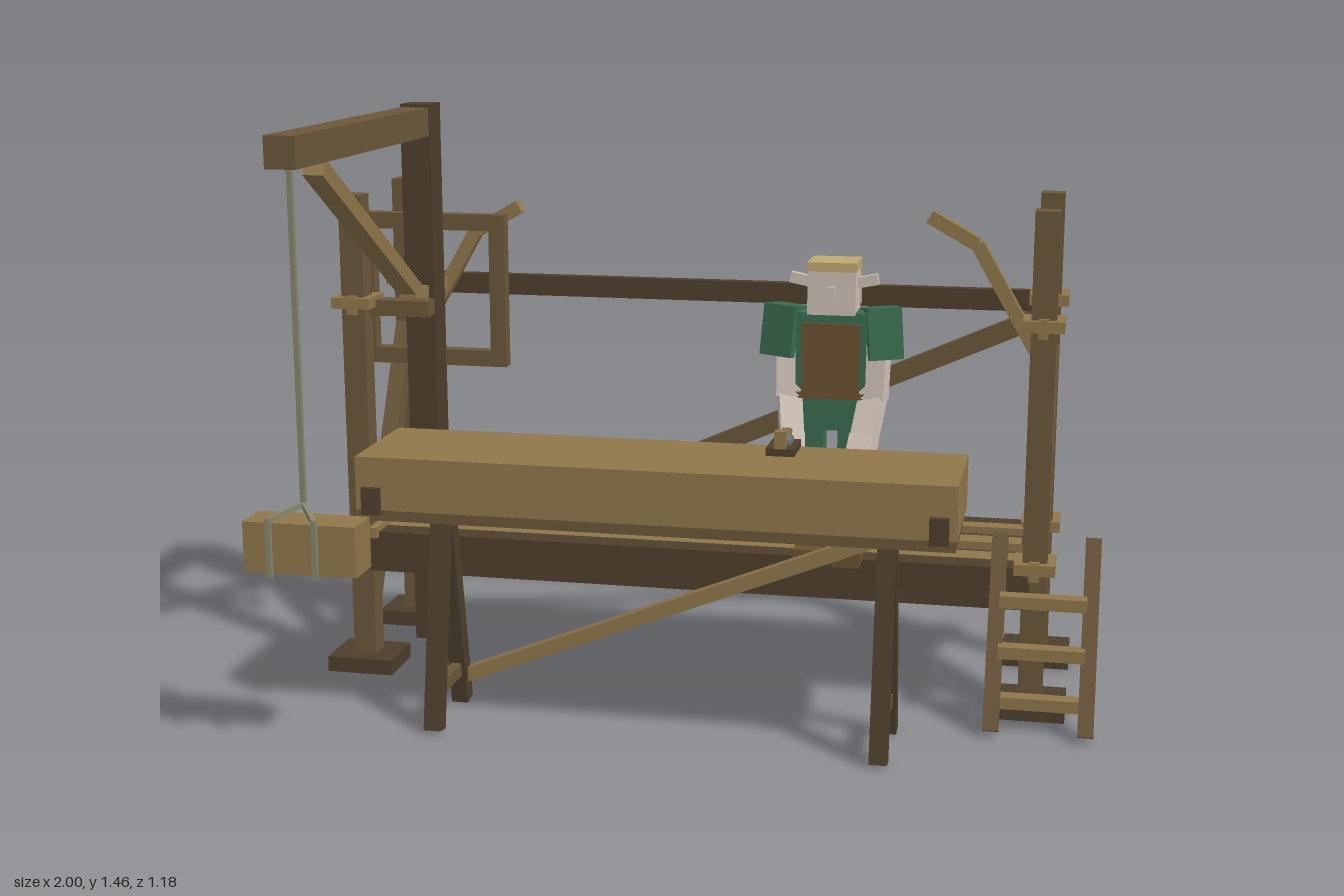
import * as THREE from 'three';

const mat = (name, color) => {
  const m = new THREE.MeshStandardMaterial({ color });
  m.name = name;
  return m;
};

export function createModel() {
  const root = new THREE.Group();
  root.name = 'timberWorkshop';
  const light = mat('lightWood', 0x8f764a);
  const medium = mat('mediumWood', 0x6b573a);
  const dark = mat('darkWood', 0x4d3f2c);
  const green = mat('greenCloth', 0x3a6b4f);
  const skin = mat('skin', 0xcdbfb5);
  const hair = mat('strawHair', 0xbfa870);
  const leather = mat('leather', 0x69502f);
  const rope = mat('rope', 0x85866c);
  const metal = mat('metal', 0x6f7774);

  const group = (name, parent = root) => {
    const g = new THREE.Group();
    g.name = name;
    parent.add(g);
    return g;
  };
  // Box given by its limits on each axis
  const box = (parent, name, m, x0, x1, y0, y1, z0, z1) => {
    const mesh = new THREE.Mesh(new THREE.BoxGeometry(x1 - x0, y1 - y0, z1 - z0), m);
    mesh.position.set((x0 + x1) / 2, (y0 + y1) / 2, (z0 + z1) / 2);
    mesh.name = name;
    parent.add(mesh);
    return mesh;
  };
  // Straight timber between two points: w is the horizontal section, h the other
  const beam = (parent, name, m, a, b, w, h) => {
    const p = new THREE.Vector3(...a), q = new THREE.Vector3(...b);
    const mesh = new THREE.Mesh(new THREE.BoxGeometry(w, h, p.distanceTo(q)), m);
    mesh.position.copy(p).add(q).multiplyScalar(0.5);
    mesh.lookAt(q);
    mesh.name = name;
    parent.add(mesh);
    return mesh;
  };

  // Scaffold: four posts with feet and collars
  const frame = group('scaffold');
  for (const x of [-0.89, 0.842]) {
    for (const z of [-0.114, -0.512]) {
      box(frame, 'post', medium, x - 0.03, x + 0.03, 0.03, 1.25, z - 0.029, z + 0.029);
      box(frame, 'postFoot', dark, x - 0.087, x + 0.087, 0, 0.04, z - 0.075, z + 0.075);
      for (const y of [0.377, 0.977]) {
        const zc = z < -0.3 ? z - 0.008 : z;
        box(frame, 'collar', light, x - 0.05, x + 0.05, y - 0.014, y + 0.014, zc - 0.06, zc + 0.05);
        box(frame, 'collarPeg', light, x - 0.012, x + 0.012, y - 0.03, y + 0.018, zc - 0.065, zc + 0.045);
      }
    }
    const s = Math.sign(x), bx = x < 0 ? -0.898 : 0.85;
    beam(frame, 'sideBrace', medium, [bx, 0.1, -0.125], [bx, 0.85, -0.505], 0.043, 0.05);
    // Bent knee brace
    const k = x < 0 ? 0.04 : 0;
    const pts = [[0.81, 0.84], [0.655, 1.11], [0.53, 1.18]].map(([px, py]) => [s * (px + k), py, -0.517]);
    beam(frame, 'kneeBrace', light, pts[0], pts[1], 0.035, 0.035);
    beam(frame, 'kneeBraceTip', light, pts[1], pts[2], 0.035, 0.035);
  }
  box(frame, 'backRail', dark, -0.88, 0.85, 0.935, 0.99, -0.57, -0.54);
  beam(frame, 'backBrace', medium, [-0.87, 0.165, -0.555], [0.83, 0.925, -0.555], 0.025, 0.05);
  for (const z of [-0.114, -0.512]) {
    box(frame, 'ledger', dark, -0.87, 0.83, 0.27, z < -0.3 ? 0.375 : 0.34, z - 0.03, z + 0.03);
  }

  // Walkway planks
  const deck = group('walkway');
  [[-0.148, -0.082, dark], [-0.218, -0.152, light], [-0.295, -0.23, medium],
    [-0.362, -0.3, light], [-0.44, -0.378, medium], [-0.49, -0.444, light]].forEach(([z0, z1, m], i) => {
    box(deck, 'plank', m, -0.87 + (i % 2) * 0.015, i === 3 ? 0.8 : 0.825, 0.332, 0.376, z0, z1);
  });

  // Tool chest with pegs
  const chest = group('toolChest');
  box(chest, 'chestBody', dark, -0.543, -0.235, 0.376, 0.45, -0.412, -0.188);
  for (const x of [-0.475, -0.375, -0.275]) {
    for (const z of [-0.318, -0.253]) box(chest, 'chestPeg', light, x - 0.03, x + 0.03, 0.45, 0.465, z - 0.012, z + 0.012);
  }

  // Crane
  const crane = group('crane');
  box(crane, 'cranePost', dark, -0.84, -0.76, 0, 1.46, -0.43, -0.343);
  box(crane, 'craneArm', medium, -0.837, -0.763, 1.378, 1.452, -0.437, 0.556);
  beam(crane, 'craneBrace', light, [-0.8, 1.365, 0.36], [-0.8, 0.94, -0.34], 0.05, 0.042);
  box(crane, 'craneTie', light, -0.82, -0.775, 0.925, 0.985, -0.345, -0.24);
  box(crane, 'craneCleat', light, -0.82, -0.775, 0.95, 0.985, -0.59, -0.43);
  box(crane, 'crossBracket', medium, -0.86, -0.7, 0.94, 0.98, -0.165, -0.115);
  box(crane, 'hoistRope', rope, -0.806, -0.794, 0.6, 1.378, 0.498, 0.51);
  // Hanging load and slings
  const load = group('hoistedLoad', crane);
  box(load, 'timberLoad', light, -0.932, -0.66, 0.452, 0.572, 0.455, 0.552);
  for (const x of [-0.855, -0.745]) {
    beam(load, 'slingTop', rope, [-0.8, 0.608, 0.505], [x, 0.588, 0.583], 0.011, 0.011);
    box(load, 'slingDrop', rope, x - 0.006, x + 0.006, 0.452, 0.592, 0.579, 0.59);
  }

  // Open square frame hung on the crane post
  const sq = group('openFrame');
  for (const y of [0.755, 1.122]) box(sq, 'frameRail', medium, -1, -0.59, y, y + 0.043, -0.463, -0.425);
  for (const x of [-1, -0.633]) box(sq, 'frameStile', medium, x, x + 0.043, 0.798, 1.122, -0.463, -0.425);

  // Workpiece on two trestles
  const bench = group('workbench');
  box(bench, 'slab', light, -0.73, 0.682, 0.56, 0.688, 0.046, 0.357);
  for (const z of [0.125, 0.205, 0.285]) box(bench, 'runner', medium, -0.725, 0.677, 0.525, 0.56, z - 0.038, z + 0.038);
  for (const x of [-0.69, 0.642]) box(bench, 'crossPin', dark, x - 0.022, x + 0.022, 0.552, 0.616, 0.036, 0.372);
  for (const x of [-0.565, 0.513]) {
    const t = group('trestle', bench);
    for (const z of [0.318, 0.098]) {
      beam(t, 'trestleLeg', dark, [x, 0.006, z], [x, 0.535, 0.208 + (z - 0.208) * 0.12], 0.042, 0.042);
    }
    box(t, 'trestleTie', medium, x - 0.012, x + 0.012, 0.08, 0.113, 0.115, 0.3);
  }
  beam(bench, 'trestleBrace', light, [-0.555, 0.07, 0.097], [0.5, 0.493, 0.097], 0.03, 0.035);

  // Hand plane
  const plane = group('handPlane');
  box(plane, 'planeBody', dark, 0.215, 0.283, 0.688, 0.706, 0.045, 0.157);
  box(plane, 'planeKnob', light, 0.236, 0.262, 0.706, 0.748, 0.135, 0.16);
  box(plane, 'planeIron', metal, 0.23, 0.268, 0.706, 0.718, 0.06, 0.115);
  beam(plane, 'planeHandle', light, [0.249, 0.7, 0.06], [0.249, 0.73, 0.045], 0.022, 0.022);

  // Ladder
  const ladder = group('ladder');
  for (const x of [0.756, 0.981]) beam(ladder, 'ladderRail', medium, [x, 0.012, 0.075], [x, 0.45, -0.122], 0.038, 0.038);
  for (const y of [0.07, 0.197, 0.325]) box(ladder, 'rung', light, 0.765, 0.972, y - 0.015, y + 0.015, -0.005, 0.035);

  // Carpenter
  const man = group('carpenter');
  man.position.set(0.34, 0, -0.085);
  box(man, 'torso', green, -0.085, 0.085, 0.79, 1, -0.055, 0.05);
  box(man, 'hips', green, -0.075, 0.075, 0.71, 0.79, -0.045, 0.042);
  box(man, 'apron', leather, -0.07, 0.07, 0.795, 0.975, 0.05, 0.059);
  box(man, 'belt', leather, -0.087, 0.087, 0.79, 0.805, -0.058, 0.053);
  box(man, 'head', skin, -0.058, 0.058, 0.995, 1.105, -0.052, 0.052);
  box(man, 'nose', skin, -0.01, 0.01, 1.035, 1.065, 0.052, 0.068);
  box(man, 'hairTop', hair, -0.06, 0.06, 1.1, 1.122, -0.064, 0.055);
  box(man, 'hairBack', hair, -0.06, 0.06, 1.01, 1.1, -0.064, -0.05);
  for (const s of [-1, 1]) {
    const ear = box(man, 'ear', skin, s * 0.08 - 0.027, s * 0.08 + 0.027, 1.06, 1.086, -0.012, 0.008);
    ear.rotation.z = s * 0.2;
    const sleeve = box(man, 'sleeve', green, s * 0.118 - 0.042, s * 0.118 + 0.042, 0.885, 1.01, -0.045, 0.045);
    sleeve.rotation.set(-0.12, s * 0.3, s * 0.08);
    beam(man, 'upperArm', skin, [s * 0.106, 0.92, 0.01], [s * 0.103, 0.79, 0.03], 0.062, 0.055);
    beam(man, 'forearm', skin, [s * 0.104, 0.81, 0.02], [s * 0.085, 0.68, 0.09], 0.056, 0.05);
    beam(man, 'hand', skin, [s * 0.088, 0.705, 0.08], [s * 0.08, 0.65, 0.115], 0.06, 0.05);
    const x = s * 0.048;
    box(man, 'trouserLeg', green, x - 0.03, x + 0.03, 0.575, 0.72, -0.036, 0.036);
    box(man, 'boot', leather, x - 0.033, x + 0.033, 0.4, 0.578, -0.042, 0.045);
    box(man, 'bootFoot', leather, x - 0.033, x + 0.033, 0.377, 0.417, -0.042, 0.085);
  }
  return root;
}
